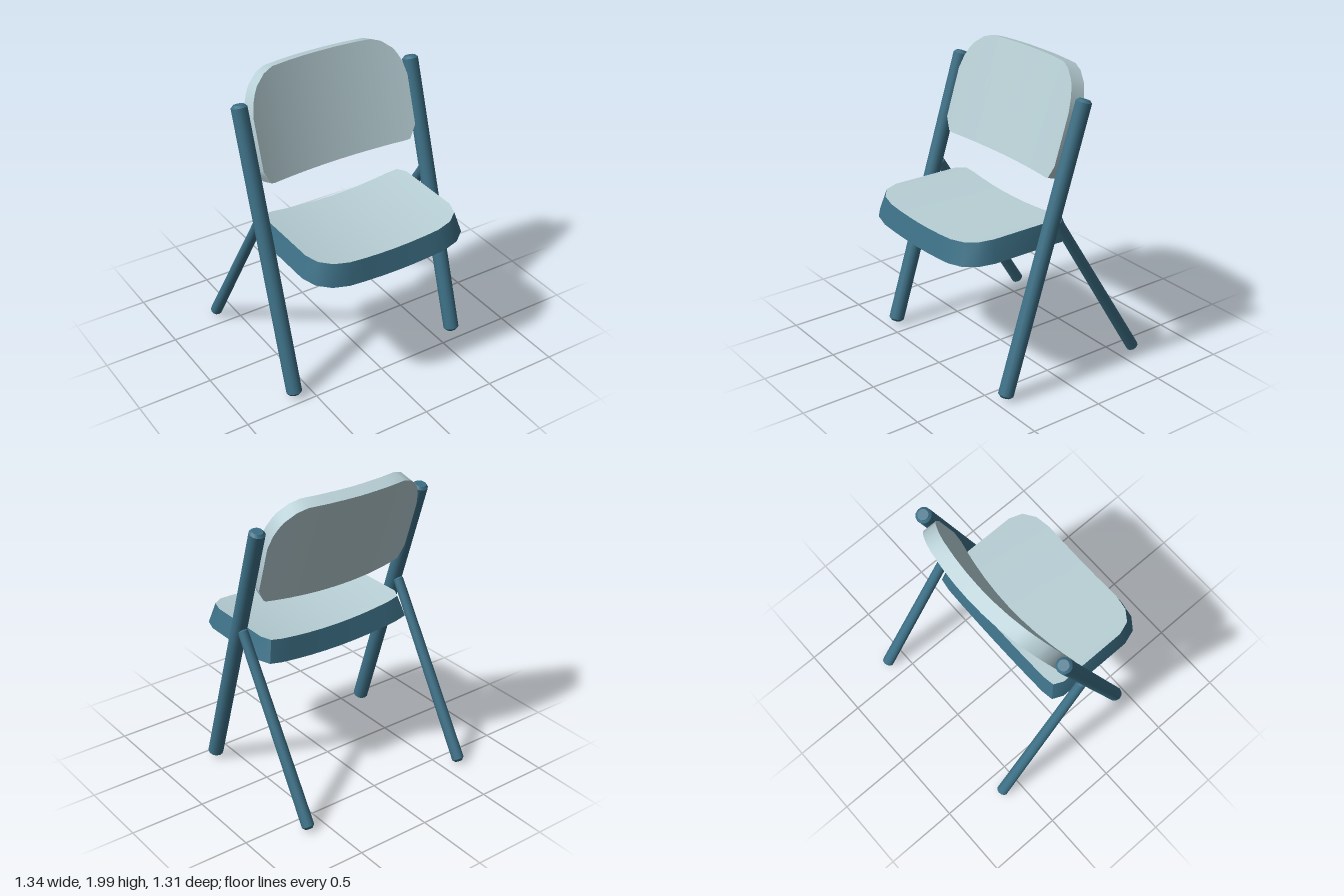
import * as THREE from 'three';
import { toCreasedNormals } from 'three/addons/utils/BufferGeometryUtils.js';

// Geometry from a list of quads, corners counter-clockwise
function quadGeometry(quads) {
  const pos = [];
  for (const [a, b, c, d] of quads) pos.push(...a, ...b, ...c, ...a, ...c, ...d);
  const geo = new THREE.BufferGeometry();
  geo.setAttribute('position', new THREE.Float32BufferAttribute(pos, 3));
  return toCreasedNormals(geo, 0.75);
}

// Bent panel in local x (width), y (height) and z (thickness).
// half: columns [x, low y, high y] from the middle outwards, mirrored in x.
// The front outline is the back outline scaled by sx, sy.
function panel(name, half, { thickness, bend, sx, sy }, faceMat, rimMat) {
  const columns = [...half.slice(1).reverse().map(([x, lo, hi]) => [-x, lo, hi]), ...half];
  const mid = (half[0][1] + half[0][2]) / 2;
  const width = half[half.length - 1][0];
  const point = (x, y, front) => {
    const z = bend * (x / width) ** 2;
    return front ? [x * sx, mid + (y - mid) * sy, z + thickness] : [x, y, z];
  };

  const faces = [];
  for (let i = 0; i < columns.length - 1; i++) {
    const [xa, la, ha] = columns[i], [xb, lb, hb] = columns[i + 1];
    for (const front of [true, false]) {
      const q = [point(xa, la, front), point(xb, lb, front), point(xb, hb, front), point(xa, ha, front)];
      faces.push(front ? q : q.reverse());
    }
  }

  const loop = [...columns.map(c => [c[0], c[1]]), ...columns.map(c => [c[0], c[2]]).reverse()];
  const rim = loop.map((p, i) => {
    const q = loop[(i + 1) % loop.length];
    return [point(...p, false), point(...q, false), point(...q, true), point(...p, true)];
  });

  const group = new THREE.Group();
  group.name = name;
  const faceMesh = new THREE.Mesh(quadGeometry(faces), faceMat);
  faceMesh.name = name + 'Faces';
  const rimMesh = new THREE.Mesh(quadGeometry(rim), rimMat);
  rimMesh.name = name + 'Rim';
  group.add(faceMesh, rimMesh);
  return group;
}

// Round bar with chamfered ends between two points
function bar(name, from, to, r0, r1, mat) {
  const dir = new THREE.Vector3().subVectors(to, from);
  const len = dir.length(), c = 0.016;
  const profile = [[0, 0], [r0 - c, 0], [r0, c], [r1, len - c], [r1 - c, len], [0, len]]
    .map(p => new THREE.Vector2(...p));
  const mesh = new THREE.Mesh(toCreasedNormals(new THREE.LatheGeometry(profile, 12), 0.6), mat);
  mesh.name = name;
  mesh.position.copy(from);
  mesh.quaternion.setFromUnitVectors(new THREE.Vector3(0, 1, 0), dir.normalize());
  return mesh;
}

export function createModel() {
  const model = new THREE.Group();
  model.name = 'foldingChair';

  const frame = new THREE.MeshStandardMaterial({ color: 0x3d7086 });
  frame.name = 'tealFrame';
  const pad = new THREE.MeshStandardMaterial({ color: 0xb8d0d6 });
  pad.name = 'paleBluePanel';

  // Seat: dished slab with rounded front corners and a teal rim
  const seat = panel('seat', [
    [0, -0.655, 0.14], [0.12, -0.655, 0.14], [0.24, -0.655, 0.14], [0.35, -0.655, 0.14],
    [0.46, -0.632, 0.14], [0.54, -0.57, 0.13], [0.573, -0.47, 0.06],
  ], { thickness: 0.138, bend: 0.047, sx: 0.93, sy: 0.9 }, pad, frame);
  seat.rotation.x = -Math.PI / 2;
  seat.position.y = 0.89;
  model.add(seat);

  // Backrest: curved panel leaning back with the front legs
  const backrest = panel('backrest', [
    [0, 0, 0.7], [0.12, 0, 0.7], [0.24, 0, 0.697], [0.36, 0, 0.692], [0.43, 0, 0.665],
    [0.5, 0, 0.605], [0.525, 0.005, 0.565], [0.55, 0.05, 0.51], [0.57, 0.09, 0.42],
  ], { thickness: 0.095, bend: 0.073, sx: 0.98, sy: 1 }, pad, pad);
  backrest.rotation.x = -0.308;
  backrest.position.set(0, 1.305, -0.115);
  model.add(backrest);

  // Long front legs and slimmer rear struts on both sides
  for (const [side, s] of [['left', 1], ['right', -1]]) {
    const at = (y, z) => new THREE.Vector3(s * 0.62, y, z);
    model.add(
      bar(side + 'FrontLeg', at(0.03, 0.43), at(1.845, -0.15), 0.051, 0.051, frame),
      bar(side + 'RearLeg', at(0.02, -0.63), at(1.125, 0.05), 0.04, 0.033, frame),
    );
  }
  return model;
}
